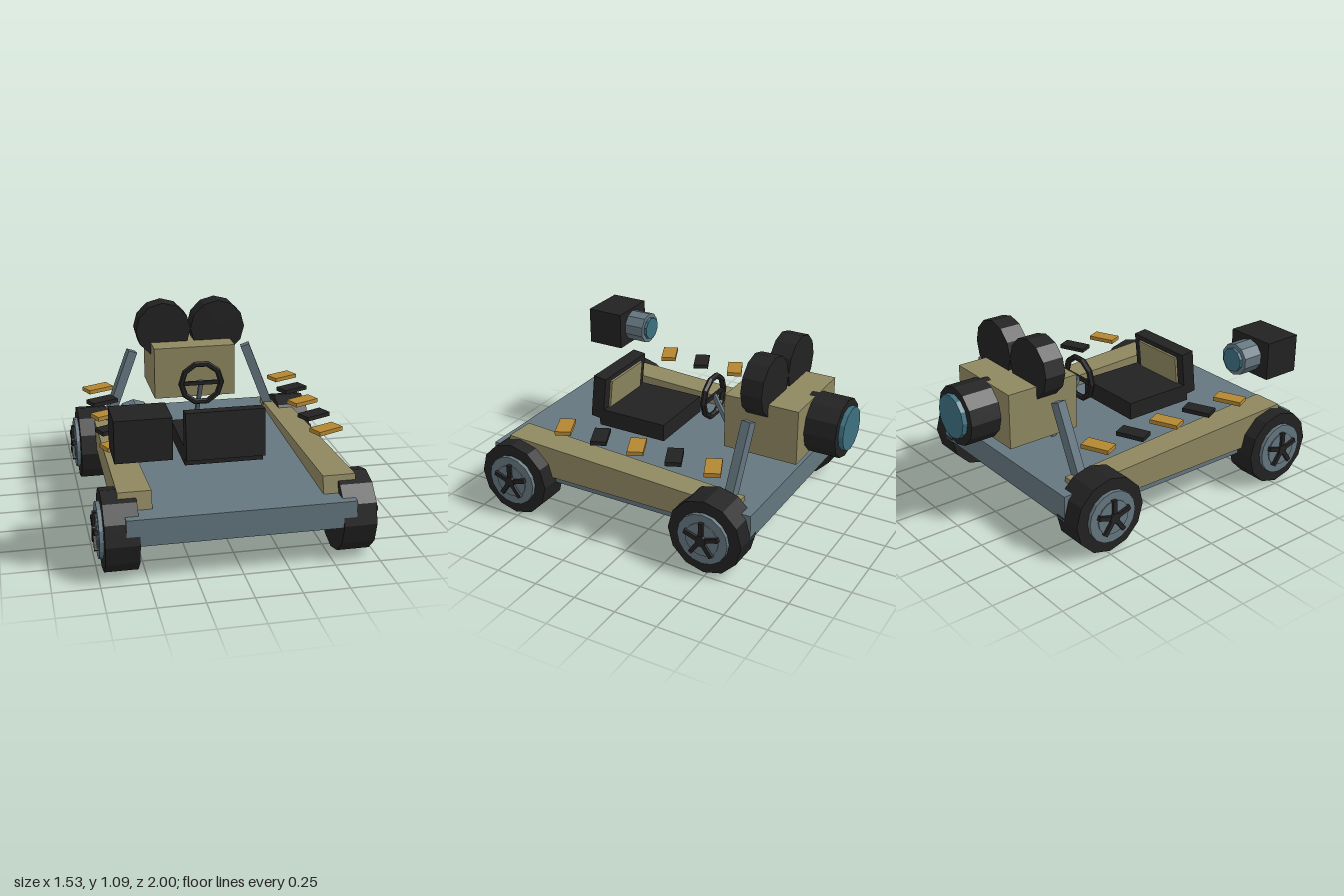
import * as THREE from 'three';

const paint = (name, color) => {
  const m = new THREE.MeshStandardMaterial({ color });
  m.name = name;
  return m;
};

export function createModel() {
  const model = new THREE.Group();
  model.name = 'cameraCart';
  const steel = paint('steel grey', 0x64767f);
  const khaki = paint('khaki', 0x8e8760);
  const black = paint('black', 0x222222);
  const gold = paint('gold', 0xb38632);
  const glass = paint('teal glass', 0x3d7080);

  // Faceted mesh placed in its parent
  function add(name, geo, mat, x = 0, y = 0, z = 0, parent = model) {
    const flat = geo.index ? geo.toNonIndexed() : geo;
    flat.computeVertexNormals();
    const mesh = new THREE.Mesh(flat, mat);
    mesh.name = name;
    mesh.position.set(x, y, z);
    parent.add(mesh);
    return mesh;
  }
  // Box given by its limits
  const box = (name, mat, x0, x1, y0, y1, z0, z1) =>
    add(name, new THREE.BoxGeometry(x1 - x0, y1 - y0, z1 - z0), mat,
      (x0 + x1) / 2, (y0 + y1) / 2, (z0 + z1) / 2);
  // Cylinder along z between z0 and z1
  const drum = (name, mat, r, sides, x, y, z0, z1) =>
    add(name, new THREE.CylinderGeometry(r, r, z1 - z0, sides).rotateX(Math.PI / 2), mat,
      x, y, (z0 + z1) / 2);
  // Square bar between two points
  function bar(name, mat, a, b, w) {
    const p = new THREE.Vector3(...a), q = new THREE.Vector3(...b);
    const mid = p.clone().add(q).multiplyScalar(0.5);
    const mesh = add(name, new THREE.BoxGeometry(w, w, p.distanceTo(q)), mat, mid.x, mid.y, mid.z);
    mesh.lookAt(q);
    return mesh;
  }

  // Deck
  box('deck', steel, -0.61, 0.61, 0.21, 0.36, -0.7, 0.99);

  // Tapered side pods, taller and wider at the front
  for (const s of [-1, 1]) {
    const geo = new THREE.BoxGeometry(1, 1, 1);
    const p = geo.attributes.position;
    for (let i = 0; i < p.count; i++) {
      const front = p.getZ(i) > 0, top = p.getY(i) > 0, outer = p.getX(i) * s > 0;
      const x = outer ? (front ? 0.637 : 0.625) : (front ? 0.458 : 0.48);
      const y = top ? (front ? 0.455 : 0.39) : 0.25;
      p.setXYZ(i, s * x, y, front ? (top ? 0.85 : 0.9) : -0.6);
    }
    add(s > 0 ? 'leftSidePod' : 'rightSidePod', geo, khaki);
  }

  // Wheels: tyre, rim, hub plate and five spokes, built with the axle on x
  for (const s of [-1, 1]) {
    for (const z of [0.78, -0.48]) {
      const wheel = new THREE.Group();
      wheel.name = 'wheel';
      wheel.position.set(0, 0.222, z);
      wheel.rotation.y = s > 0 ? 0 : Math.PI;
      model.add(wheel);
      const disc = (name, mat, r, n, x0, x1) =>
        add(name, new THREE.CylinderGeometry(r, r, x1 - x0, n).rotateZ(Math.PI / 2), mat,
          (x0 + x1) / 2, 0, 0, wheel);
      disc('tyre', black, 0.222, 12, 0.54, 0.72);
      disc('rim', steel, 0.152, 16, 0.7, 0.742);
      disc('hubPlate', steel, 0.1, 16, 0.74, 0.748);
      disc('hub', black, 0.032, 10, 0.74, 0.765);
      for (let i = 0; i < 5; i++) {
        const spoke = new THREE.BoxGeometry(0.022, 0.108, 0.026).translate(0, 0.054, 0);
        add('spoke', spoke, black, 0.752, 0, 0, wheel).rotation.x = i * Math.PI * 0.4;
      }
    }
  }

  // Seat with leaning backrest and padded panel
  box('seatCushion', black, -0.22, 0.22, 0.427, 0.53, 0.06, 0.5);
  const back = new THREE.Group();
  back.name = 'seatBack';
  back.position.set(0, 0.603, 0.504);
  back.rotation.x = -0.11;
  model.add(back);
  add('backrest', new THREE.BoxGeometry(0.44, 0.266, 0.082), black, 0, 0, 0, back);
  add('backPad', new THREE.BoxGeometry(0.335, 0.2, 0.016), khaki, 0, 0.004, -0.047, back);

  // Steering wheel and column
  add('steeringWheel', new THREE.TorusGeometry(0.122, 0.018, 6, 10), black, 0, 0.675, -0.147);
  box('steeringSpoke', black, -0.12, 0.12, 0.663, 0.687, -0.154, -0.14);
  bar('steeringColumn', steel, [0, 0.685, -0.15], [0, 0.345, -0.35], 0.024);

  // Camera body, two film reels and the rear lens
  box('cameraBody', khaki, -0.25, 0.25, 0.52, 0.838, -0.79, -0.35);
  for (const s of [-1, 1]) drum('filmReel', black, 0.17, 12, s * 0.17, 0.915, -0.613, -0.488);
  drum('lensBarrel', black, 0.169, 12, 0, 0.677, -0.972, -0.755);
  drum('lensGlass', glass, 0.125, 12, 0, 0.68, -1, -0.96);
  box('bottomSlot', black, -0.11, 0.11, 0.512, 0.522, -0.7, -0.645);

  // Struts holding the camera
  for (const s of [-1, 1]) {
    bar('cameraStrut', steel, [s * 0.36, 0.775, -0.552], [s * 0.522, 0.35, -0.527], 0.056);
  }

  // Front lamp facing backwards
  box('lampHousing', black, -0.655, -0.36, 0.655, 0.88, 0.715, 0.945);
  drum('lampBarrel', steel, 0.096, 10, -0.508, 0.768, 0.59, 0.73);
  drum('lampGlass', glass, 0.07, 10, -0.508, 0.768, 0.572, 0.6);

  // Slanted floating slats in alternating colours
  for (const x of [-0.588, 0.582]) {
    for (let i = 0; i < 5; i++) {
      add('slat', new THREE.BoxGeometry(0.164, 0.024, 0.09), i % 2 ? black : gold,
        x, 0.575, -0.46 + i * 0.2375).rotation.y = 0.42;
    }
  }
  return model;
}
